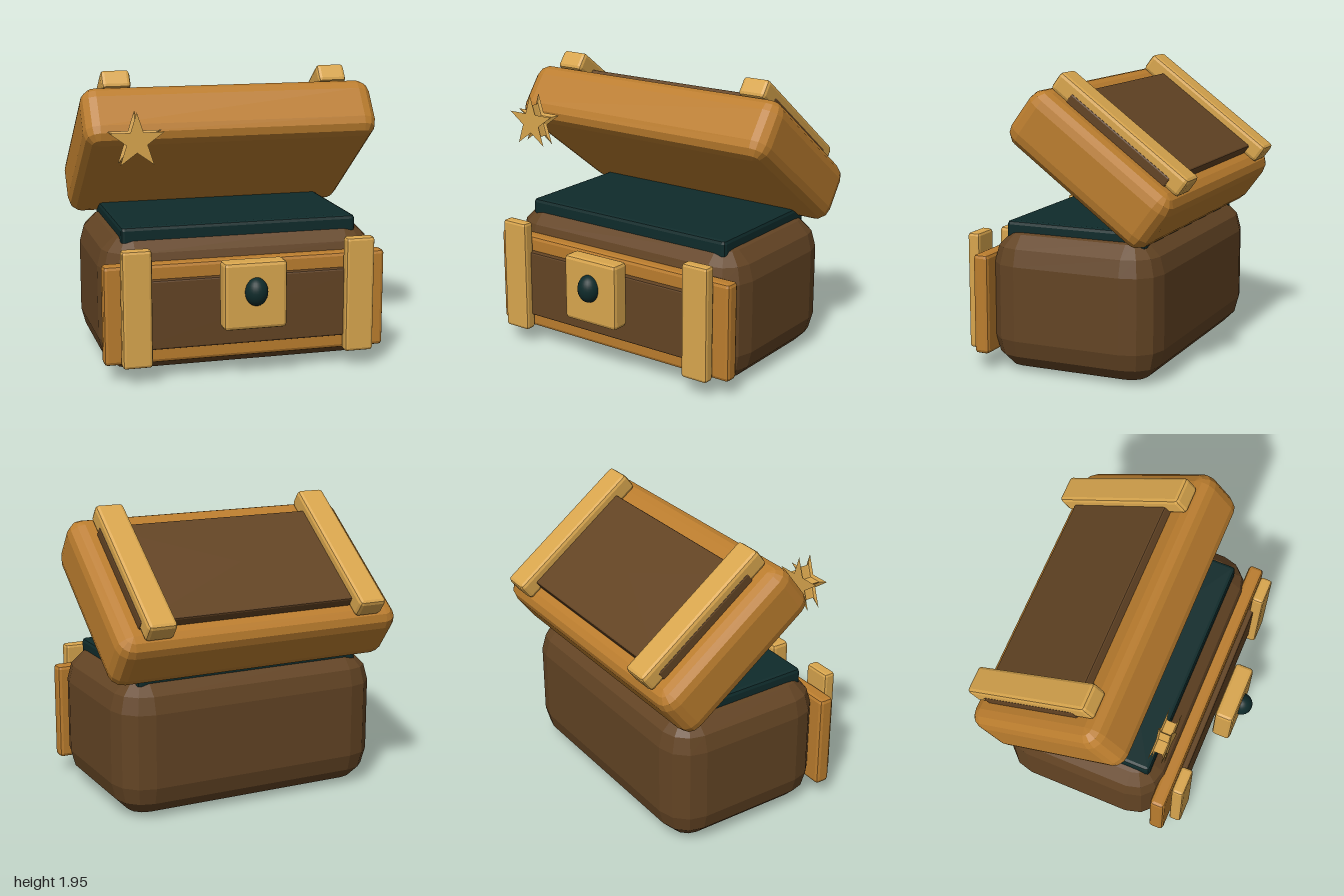
import * as THREE from 'three';

const mat = (name, color) => {
  const m = new THREE.MeshStandardMaterial({ color });
  m.name = name;
  return m;
};

// Flat-shaded skin over a stack of rings (counter-clockwise seen from the far end), both ends capped.
function loft(rings) {
  const pos = [];
  const ab = new THREE.Vector3(), ac = new THREE.Vector3();
  const tri = (a, b, c) => {
    ab.subVectors(b, a);
    ac.subVectors(c, a);
    if (ab.cross(ac).length() < 1e-9) return;
    for (const p of [a, b, c]) pos.push(p.x, p.y, p.z);
  };
  const centre = (ring) => ring.reduce((s, p) => s.add(p), new THREE.Vector3()).divideScalar(ring.length);
  const n = rings[0].length;
  const last = rings[rings.length - 1];
  const c0 = centre(rings[0]), c1 = centre(last);
  for (let i = 0; i < n; i++) {
    const j = (i + 1) % n;
    tri(c0, rings[0][j], rings[0][i]);
    tri(c1, last[i], last[j]);
    for (let k = 0; k < rings.length - 1; k++) {
      const lo = rings[k], hi = rings[k + 1];
      tri(lo[i], lo[j], hi[j]);
      tri(lo[i], hi[j], hi[i]);
    }
  }
  const g = new THREE.BufferGeometry();
  g.setAttribute('position', new THREE.Float32BufferAttribute(pos, 3));
  g.computeVertexNormals();
  return g;
}

// Box with bevelled edges and corners, each bevel made of seg strips.
function bevelBox(w, h, d, r, seg) {
  const rings = [];
  for (let row = 0; row < 2 * (seg + 1); row++) {
    const upper = row > seg;
    const step = (row % (seg + 1)) / seg * Math.PI / 2;
    const lat = upper ? step : step - Math.PI / 2;
    const y = (upper ? 1 : -1) * (h / 2 - r) + r * Math.sin(lat);
    const ring = [];
    for (let q = 0; q < 4; q++) {
      const sx = q === 0 || q === 3 ? 1 : -1;
      const sz = q < 2 ? -1 : 1;
      for (let k = 0; k <= seg; k++) {
        const a = (q + k / seg) * Math.PI / 2;
        const rr = r * Math.cos(lat);
        ring.push(new THREE.Vector3(sx * (w / 2 - r) + rr * Math.cos(a), y, sz * (d / 2 - r) - rr * Math.sin(a)));
      }
    }
    rings.push(ring);
  }
  return loft(rings);
}

// Five-pointed star outline at depth z.
function starRing(radius, z) {
  return Array.from({ length: 10 }, (_, i) => {
    const r = i % 2 ? radius * 0.382 : radius;
    const a = Math.PI / 2 + i * Math.PI / 5;
    return new THREE.Vector3(r * Math.cos(a), r * Math.sin(a), z);
  });
}

export function createModel() {
  const darkWood = mat('dark wood', 0x634424);
  const lightWood = mat('light wood', 0xbb7d2e);
  const gold = mat('gold', 0xd9a64e);
  const teal = mat('dark teal', 0x0f2b2b);

  const model = new THREE.Group();
  model.name = 'treasureChest';

  const add = (parent, name, geometry, material, x, y, z) => {
    const mesh = new THREE.Mesh(geometry, material);
    mesh.name = name;
    mesh.position.set(x, y, z);
    parent.add(mesh);
    return mesh;
  };
  // Bevelled block given by its minimum and maximum corners.
  const block = (parent, name, material, [x0, x1], [y0, y1], [z0, z1], r, seg = 2) =>
    add(parent, name, bevelBox(x1 - x0, y1 - y0, z1 - z0, r, seg), material,
      (x0 + x1) / 2, (y0 + y1) / 2, (z0 + z1) / 2);

  // Chest body and lining
  block(model, 'body', darkWood, [-0.94, 0.94], [0, 0.93], [-0.66, 0.51], 0.22, 3);
  block(model, 'lining', teal, [-0.8, 0.8], [0.8, 0.98], [-0.56, 0.41], 0.025);

  // Front board with raised panel
  block(model, 'frontFrame', lightWood, [-0.95, 0.95], [0.11, 0.77], [0.475, 0.58], 0.025);
  block(model, 'frontPanel', darkWood, [-0.79, 0.79], [0.21, 0.67], [0.5, 0.62], 0.012);

  // Lock plate and knob
  block(model, 'lockPlate', gold, [-0.21, 0.21], [0.35, 0.795], [0.655, 0.788], 0.025);
  const knob = add(model, 'lockKnob', new THREE.SphereGeometry(1, 24, 16), teal, 0, 0.603, 0.79);
  knob.scale.set(0.075, 0.093, 0.075);

  // Open lid, tilted back
  const lid = new THREE.Group();
  lid.name = 'lid';
  lid.position.set(0, 1.375, -0.238);
  lid.rotation.x = -0.638;
  model.add(lid);
  block(lid, 'lidShell', lightWood, [-1, 1], [-0.207, 0.207], [-0.577, 0.577], 0.1, 3);
  block(lid, 'lidPanel', darkWood, [-0.85, 0.85], [0.1, 0.272], [-0.428, 0.392], 0.012);

  // Paired straps on the front and the lid
  for (const side of [-1, 1]) {
    const xs = side > 0 ? [0.65, 0.845] : [-0.845, -0.65];
    const label = side > 0 ? 'left' : 'right';
    block(model, label + 'FrontStrap', gold, xs, [0.11, 0.885], [0.59, 0.675], 0.02);
    block(lid, label + 'LidStrap', gold, xs, [0.2, 0.333], [-0.53, 0.53], 0.025);
  }

  // Star charm with a pinched rim
  const rim = [[0.187, -0.044], [0.15, -0.038], [0.125, -0.034], [0.116, -0.025],
    [0.116, 0.025], [0.125, 0.034], [0.15, 0.038], [0.187, 0.044]];
  add(model, 'star', loft(rim.map(([r, z]) => starRing(r, z))), gold, -0.707, 1.555, 0.476);

  return model;
}
